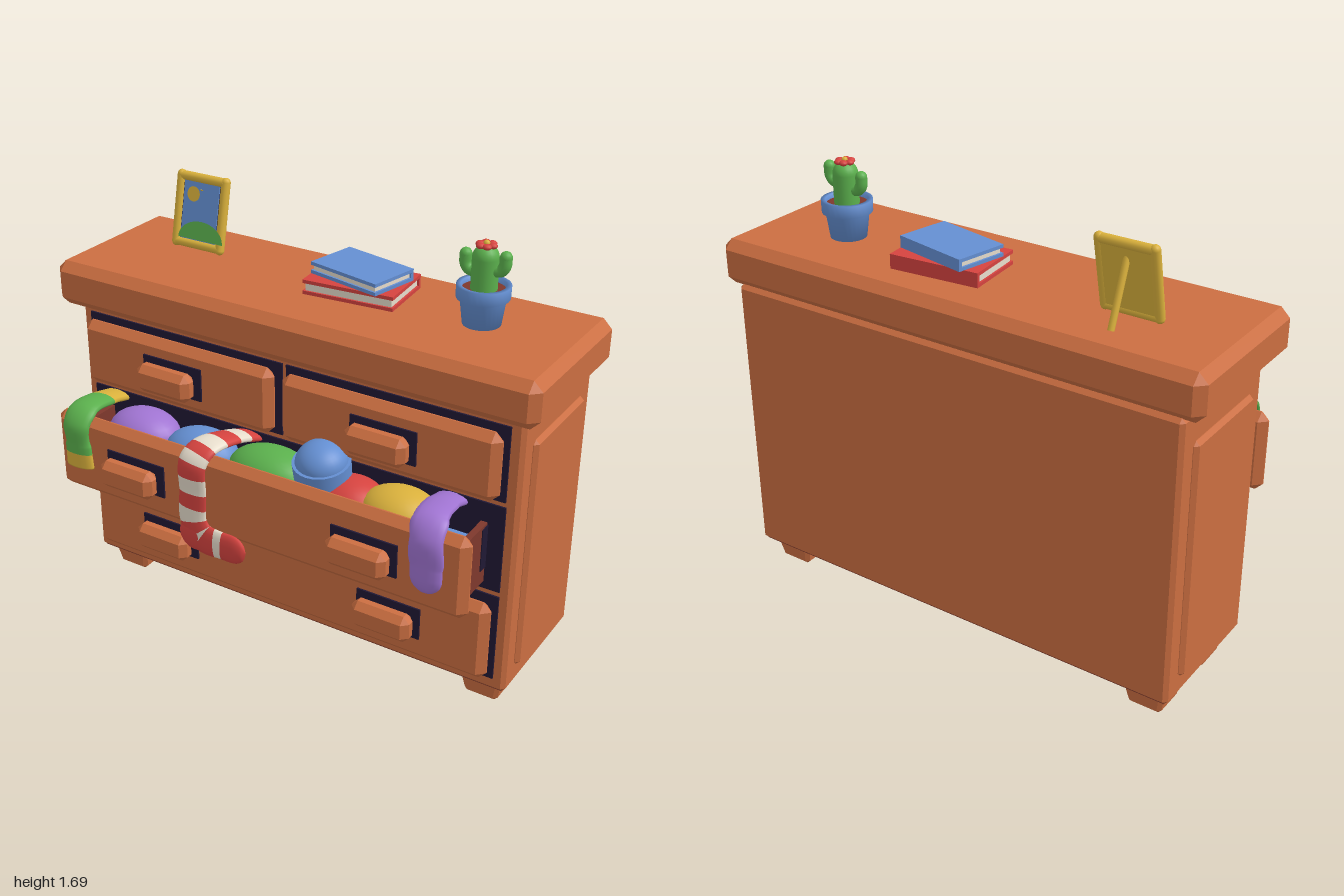
import * as THREE from 'three';
import { ConvexGeometry } from 'three/addons/geometries/ConvexGeometry.js';

const mat = (name, color) => {
  const m = new THREE.MeshStandardMaterial({ color });
  m.name = name;
  return m;
};
const wood = mat('wood', 0xcb6e41);
const dark = mat('dark recess', 0x201834);
const inner = mat('drawer lining', 0x7e382c);
const blue = mat('blue', 0x648fd2);
const green = mat('green', 0x5bb04d);
const red = mat('red', 0xd5433f);
const cream = mat('cream', 0xeae0cf);
const purple = mat('purple', 0xa074d2);
const yellow = mat('yellow', 0xdab13c);

const V = (x, y, z) => new THREE.Vector3(x, y, z);

function add(parent, name, geo, material, x = 0, y = 0, z = 0) {
  const mesh = new THREE.Mesh(geo, material);
  mesh.name = name;
  mesh.position.set(x, y, z);
  parent.add(mesh);
  return mesh;
}
function group(parent, name, x = 0, y = 0, z = 0) {
  const g = new THREE.Group();
  g.name = name;
  g.position.set(x, y, z);
  parent.add(g);
  return g;
}
const box = (w, h, d) => new THREE.BoxGeometry(w, h, d);

// Box with all edges cut at 45 degrees; taper narrows the bottom
function chamferBox(w, h, d, c, taper = 1) {
  const pts = [];
  for (const sx of [-1, 1]) for (const sy of [-1, 1]) for (const sz of [-1, 1]) {
    const k = sy < 0 ? taper : 1, x = w / 2 * k, y = h / 2, z = d / 2 * k;
    pts.push(V(sx * x, sy * (y - c), sz * (z - c)));
    pts.push(V(sx * (x - c), sy * y, sz * (z - c)));
    pts.push(V(sx * (x - c), sy * (y - c), sz * z));
  }
  return new ConvexGeometry(pts);
}

// Flattened tube: pts are [x, y, z, width], normals give the flat side; pick(t) returns a material index
function cloth(pts, normals, half, round, pick = () => 0) {
  const path = new THREE.CatmullRomCurve3(pts.map(p => V(p[0], p[1], p[2])));
  const widths = new THREE.CatmullRomCurve3(pts.map(p => V(p[3], 0, 0)));
  const flat = new THREE.CatmullRomCurve3(normals.map(n => V(...n)));
  const n = 96, m = 14, pos = [], idx = [], geo = new THREE.BufferGeometry();
  for (let i = 0; i <= n; i++) {
    const t = i / n, T = path.getTangent(t), c = path.getPoint(t);
    const N = flat.getPoint(t);
    N.addScaledVector(T, -N.dot(T)).normalize();
    const S = N.clone().cross(T);
    const e = Math.max(0, (t - 1 + round) / round);
    const f = Math.max(0.05, Math.sqrt(Math.max(0, 1 - e * e)));
    const w = widths.getPoint(t).x / 2 * f;
    for (let j = 0; j < m; j++) {
      const a = j / m * Math.PI * 2;
      const p = c.clone().addScaledVector(S, Math.cos(a) * w).addScaledVector(N, Math.sin(a) * half * f);
      pos.push(p.x, p.y, p.z);
    }
  }
  for (let i = 0; i < n; i++) {
    geo.addGroup(idx.length, m * 6, pick((i + 0.5) / n));
    for (let j = 0; j < m; j++) {
      const k = (j + 1) % m, a = i * m + j, b = i * m + k;
      idx.push(a, b, b + m, a, b + m, a + m);
    }
  }
  // end cap
  geo.addGroup(idx.length, (m - 2) * 3, pick(1));
  for (let j = 1; j < m - 1; j++) idx.push(n * m, n * m + j, n * m + j + 1);
  geo.setAttribute('position', new THREE.Float32BufferAttribute(pos, 3));
  geo.setIndex(idx);
  geo.computeVertexNormals();
  return geo;
}

function handle(parent, x, y, z) {
  const g = group(parent, 'handle', x, y, z);
  add(g, 'handlePlate', box(0.263, 0.13, 0.008), dark, 0, 0, 0.003);
  add(g, 'handleNeck', box(0.15, 0.06, 0.03), wood, 0, 0, 0.012);
  add(g, 'handleGrip', chamferBox(0.24, 0.11, 0.075, 0.025), wood, 0, 0, 0.048);
}

function drawerFront(parent, name, x, y, z, w, h, handles) {
  const g = group(parent, name, x, y, z);
  add(g, 'drawerPanel', chamferBox(w, h, 0.066, 0.03), wood);
  for (const hx of handles) handle(g, hx, 0, 0.033);
}

function book(parent, cover, w, h, d, y, turn) {
  const g = group(parent, 'book', 0.136, y, -0.184);
  g.rotation.y = turn;
  const c = 0.013;
  for (const s of [-1, 1]) add(g, 'cover', box(w, c, d), cover, 0, s * (h - c) / 2, 0);
  add(g, 'spine', box(w, h, c), cover, 0, 0, -(d - c) / 2);
  add(g, 'pages', box(w - 0.016, h - 2 * c, d - 0.016), cream);
}

export function createModel() {
  const model = new THREE.Group();
  model.name = 'dresser';

  // Carcass
  add(model, 'body', chamferBox(1.87, 1.12, 0.56, 0.015), wood, 0, 0.66, -0.165);
  add(model, 'underside', box(1.84, 0.006, 0.53), inner, 0, 0.1, -0.165);
  add(model, 'topSlab', chamferBox(2, 0.175, 0.65, 0.035), wood, 0, 1.303, -0.135);
  for (const s of [-1, 1]) {
    add(model, 'sidePanel', chamferBox(0.04, 0.93, 0.41, 0.015), wood, s * 0.932, 0.645, -0.165);
    for (const z of [-0.01, -0.32]) add(model, 'foot', chamferBox(0.17, 0.12, 0.172, 0.014, 0.8), wood, s * 0.817, 0.06, z);
  }

  // Dark openings behind the drawers
  for (const [x, y, w, h] of [[-0.45, 1.04, 0.88, 0.29], [0.447, 1.04, 0.88, 0.29], [0, 0.703, 1.78, 0.345], [0, 0.332, 1.78, 0.355]])
    add(model, 'drawerOpening', box(w, h, 0.009), dark, x, y, 0.1175);

  // Drawer fronts
  drawerFront(model, 'topDrawerRight', -0.452, 1.042, 0.155, 0.862, 0.262, [0]);
  drawerFront(model, 'topDrawerLeft', 0.447, 1.042, 0.155, 0.862, 0.262, [0]);
  drawerFront(model, 'bottomDrawer', 0, 0.332, 0.155, 1.76, 0.325, [-0.495, 0.49]);
  drawerFront(model, 'openDrawer', 0, 0.71, 0.347, 1.76, 0.325, [-0.495, 0.49]);

  // Open drawer tray
  for (const s of [-1, 1]) {
    add(model, 'traySide', box(0.025, 0.24, 0.21), inner, s * 0.815, 0.68, 0.215);
    add(model, 'trayRunner', box(0.006, 0.17, 0.04), dark, s * 0.828, 0.705, 0.142);
  }
  add(model, 'trayBottom', box(1.63, 0.02, 0.21), inner, 0, 0.57, 0.215);
  add(model, 'foldedCloth', box(1.56, 0.14, 0.19), blue, 0, 0.66, 0.212);

  // Heaped clothes
  const heap = new THREE.SphereGeometry(1, 24, 16);
  for (const [m, x, rx, top] of [[purple, -0.59, 0.15, 0.872], [blue, -0.32, 0.15, 0.862],
    [green, -0.01, 0.17, 0.876], [red, 0.33, 0.14, 0.858], [yellow, 0.53, 0.15, 0.876]])
    add(model, 'heapedCloth', heap, m, x, top - 0.09, 0.2).scale.set(rx, 0.09, 0.115);

  // Cap
  const cap = group(model, 'cap', 0.218, 0.872, 0.212);
  cap.rotation.x = 0.18;
  add(cap, 'capBand', new THREE.CylinderGeometry(0.107, 0.105, 0.065, 28), blue);
  add(cap, 'capDome', new THREE.SphereGeometry(0.096, 28, 12, 0, Math.PI * 2, 0, Math.PI / 2), blue, 0, 0.028, 0).scale.y = 0.8;

  // Clothes hanging over the drawer front
  const over = [[0, 1, -0.2], [0, 1, -0.2], [0, 1, 0.3], [0, 0.4, 1], [0, 0, 1], [0, 0, 1]];
  add(model, 'purpleScarf', cloth([[0.69, 0.85, 0.11, 0.12], [0.7, 0.885, 0.22, 0.12], [0.725, 0.905, 0.35, 0.125],
    [0.738, 0.85, 0.403, 0.125], [0.743, 0.75, 0.407, 0.125], [0.745, 0.645, 0.407, 0.12]], over, 0.022, 0.12), [purple]);
  add(model, 'greenScarf', cloth([[-0.785, 0.85, 0.11, 0.12], [-0.775, 0.88, 0.22, 0.12], [-0.76, 0.895, 0.35, 0.122],
    [-0.756, 0.85, 0.403, 0.122], [-0.75, 0.77, 0.407, 0.122], [-0.746, 0.676, 0.407, 0.13]], over, 0.022, 0.01,
  t => (t > 0.86 || t < 0.21 ? 1 : 0)), [green, yellow]);
  add(model, 'stripedSock', cloth([[-0.155, 0.85, 0.11, 0.115], [-0.175, 0.885, 0.22, 0.12], [-0.2, 0.895, 0.35, 0.125],
    [-0.214, 0.85, 0.403, 0.122], [-0.216, 0.73, 0.405, 0.12], [-0.218, 0.61, 0.405, 0.122], [-0.18, 0.55, 0.405, 0.135],
    [-0.09, 0.54, 0.405, 0.12], [0.012, 0.542, 0.405, 0.122]],
  [...over, [0, 0, 1], [0, 0, 1], [0, 0, 1]], 0.02, 0.08,
  t => (t < 0.92 && (t * 16) % 2 > (t > 0.62 ? 1.3 : 1) ? 1 : 0)), [red, cream]);
  add(model, 'sockHeel', heap, red, -0.213, 0.55, 0.405).scale.set(0.068, 0.066, 0.0215);

  // Books
  book(model, red, 0.355, 0.055, 0.245, 1.418, 0.085);
  book(model, blue, 0.31, 0.045, 0.205, 1.468, -0.21);

  // Picture frame, leaning back on a strut
  const frame = group(model, 'pictureFrame', -0.6, 1.39, -0.19);
  frame.rotation.x = -0.21;
  const bar = l => new THREE.CapsuleGeometry(0.018, l, 6, 12);
  for (const s of [-1, 1]) {
    add(frame, 'frameUpright', bar(0.26), yellow, s * 0.102, 0.151, 0);
    add(frame, 'frameRail', bar(0.19), yellow, 0, 0.151 + s * 0.127, 0).rotation.z = Math.PI / 2;
  }
  add(frame, 'frameBack', box(0.2, 0.26, 0.012), yellow, 0, 0.151, -0.008);
  add(frame, 'mount', box(0.19, 0.25, 0.006), dark, 0, 0.151, 0.001);
  add(frame, 'sky', box(0.162, 0.235, 0.006), blue, 0, 0.151, 0.005);
  add(frame, 'sun', new THREE.CircleGeometry(0.029, 24), yellow, -0.035, 0.215, 0.0095);
  add(frame, 'hill', new THREE.CircleGeometry(0.103, 28, 0, Math.PI), green, 0.02, 0.045, 0.0195).scale.y = 0.7;
  const strut = add(model, 'strut', new THREE.CylinderGeometry(0.012, 0.012, 0.25, 12), yellow, -0.6, 1.51, -0.285);
  strut.rotation.x = 0.37;

  // Potted cactus
  const plant = group(model, 'pottedCactus', 0.627, 1.39, -0.16);
  const profile = [[0, 0], [0.068, 0], [0.081, 0.098], [0.094, 0.098], [0.095, 0.145], [0.078, 0.145], [0.076, 0.12]];
  const pot = new THREE.LatheGeometry(profile.map(p => new THREE.Vector2(...p)), 28);
  add(plant, 'pot', pot, blue);
  add(plant, 'soil', new THREE.CylinderGeometry(0.078, 0.078, 0.02, 28), inner, 0, 0.118, 0);
  add(plant, 'cactusTrunk', new THREE.CapsuleGeometry(0.047, 0.11, 8, 20), green, 0, 0.185, 0);
  for (const [s, y] of [[-1, 0.185], [1, 0.2]]) {
    const curve = new THREE.CatmullRomCurve3([V(s * 0.03, y, 0), V(s * 0.058, y + 0.004, 0), V(s * 0.072, y + 0.022, 0), V(s * 0.074, y + 0.055, 0)]);
    add(plant, 'cactusArm', new THREE.TubeGeometry(curve, 16, 0.022, 12), green);
    add(plant, 'armTip', new THREE.SphereGeometry(0.022, 14, 10), green, s * 0.074, y + 0.055, 0);
  }
  const petal = new THREE.SphereGeometry(0.016, 12, 8);
  for (let i = 0; i < 6; i++) {
    const a = i / 6 * Math.PI * 2;
    add(plant, 'petal', petal, red, Math.cos(a) * 0.024, 0.286, Math.sin(a) * 0.024).scale.y = 0.65;
  }
  add(plant, 'flowerCentre', new THREE.SphereGeometry(0.012, 12, 8), yellow, 0, 0.291, 0);

  return model;
}
